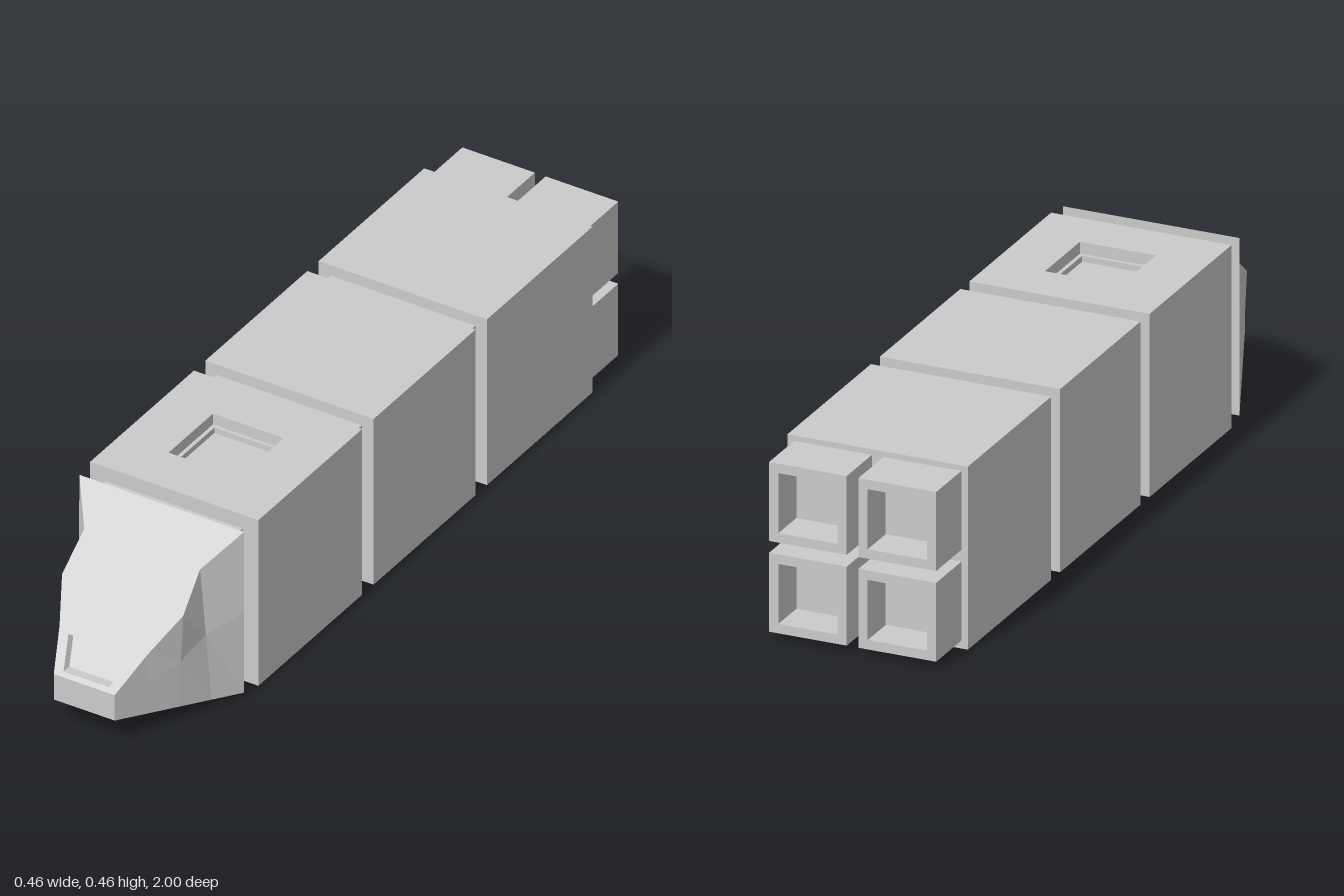
import * as THREE from 'three';

const material = new THREE.MeshStandardMaterial({ color: 0xcccccc, flatShading: true });

function addMesh(parent, name, geometry) {
  const mesh = new THREE.Mesh(geometry, material);
  mesh.name = name;
  parent.add(mesh);
  return mesh;
}

// Flat-sided skin through rings of points; the last ring is always capped.
// Rings run counter-clockwise seen from the end; skipEdge leaves one strip open.
function loft(rings, { startCap = true, skipEdge = -1 } = {}) {
  const pos = [];
  const tri = (a, b, c) => pos.push(...a, ...b, ...c);
  const n = rings[0].length;
  for (let k = 0; k < rings.length - 1; k++) {
    const a = rings[k], b = rings[k + 1];
    for (let i = 0; i < n; i++) {
      if (i === skipEdge) continue;
      const j = (i + 1) % n;
      tri(a[i], a[j], b[j]);
      tri(a[i], b[j], b[i]);
    }
  }
  const first = rings[0], last = rings[rings.length - 1];
  for (let i = 1; i < n - 1; i++) {
    if (startCap) tri(first[0], first[i + 1], first[i]);
    tri(last[0], last[i], last[i + 1]);
  }
  const g = new THREE.BufferGeometry();
  g.setAttribute('position', new THREE.Float32BufferAttribute(pos, 3));
  g.computeVertexNormals();
  return g;
}

const rect = (w, h, z) => [[-w / 2, -h / 2, z], [w / 2, -h / 2, z], [w / 2, h / 2, z], [-w / 2, h / 2, z]];

function createNose() {
  const nose = new THREE.Group();
  nose.name = 'nose';
  const slopeZ = (y) => 1 - (y - 0.143) * (0.34 / 0.317);

  // Upper edge of each flank, from the back to the tip
  const edge = [[0.227, 0.46], [0.16, 0.38], [0.167, 0.3], [0.12, 0.22], [0.084, 0.143]];
  const rings = edge.map(([tx, ty]) => {
    const z = slopeZ(ty), t = (z - 0.66) / 0.34;
    const bx = 0.227 - 0.143 * t, by = 0.01 + 0.062 * t;
    const mx = (tx + bx) / 2, my = (ty + by) / 2;
    return [[-bx, by, z], [bx, by, z], [mx, my, z], [tx, ty, z], [-tx, ty, z], [-mx, my, z]];
  });
  addMesh(nose, 'noseShell', loft(rings, { skipEdge: 3 }));

  // Sloping top with the window opening
  const win = [[-0.063, 0.152], [0.063, 0.152], [0.09, 0.212], [-0.09, 0.212]];
  const outline = [...edge, ...edge.map(([x, y]) => [-x, y]).reverse()];
  const toVec = ([x, y]) => new THREE.Vector2(x, y);
  const shape = new THREE.Shape(outline.map(toVec));
  shape.holes.push(new THREE.Path(win.map(toVec)));
  const top = new THREE.ShapeGeometry(shape);
  const p = top.attributes.position;
  for (let i = 0; i < p.count; i++) p.setZ(i, slopeZ(p.getY(i)));
  top.computeVertexNormals();
  addMesh(nose, 'noseTop', top);

  // Window sunk straight back into the slope
  const winRing = (depth) => win.map(([x, y]) => [x, y, slopeZ(y) - depth]);
  addMesh(nose, 'windowRecess', loft([winRing(0), winRing(0.025)], { startCap: false }));
  return nose;
}

export function createModel() {
  const model = new THREE.Group();
  model.name = 'spacecraft';
  const W = 0.464, midY = W / 2;

  const block = (name, w, h, y, z0, z1) =>
    addMesh(model, name, new THREE.BoxGeometry(w, h, z1 - z0)).position.set(0, y, (z0 + z1) / 2);

  model.add(createNose());

  // Front module with a stepped hatch in its roof, swept upward
  const L = 0.455;
  const front = addMesh(model, 'frontModule', loft([
    rect(W, L, 0), rect(W, L, W),
    rect(0.195, 0.195, W), rect(0.195, 0.195, W - 0.03),
    rect(0.175, 0.175, W - 0.03), rect(0.175, 0.175, W - 0.045),
  ]));
  front.rotation.x = -Math.PI / 2;
  front.position.z = 0.3775;

  block('middleModule', W, W, midY, -0.347, 0.1);
  block('rearModule', W, W, midY, -0.86, -0.397);

  // Narrower necks between the sections
  block('noseNeck', 0.375, 0.38, 0.235, 0.605, 0.66);
  block('frontNeck', 0.4, 0.4, 0.235, 0.1, 0.15);
  block('rearNeck', 0.4, 0.4, 0.235, -0.397, -0.347);

  // Four hollow square thrusters
  const thruster = loft([
    rect(0.2, 0.2, 0), rect(0.2, 0.2, 0.14),
    rect(0.152, 0.152, 0.14), rect(0.152, 0.152, 0.04),
  ]);
  for (const x of [-0.115, 0.115]) {
    for (const y of [0.12, 0.35]) {
      const t = addMesh(model, 'thruster', thruster);
      t.rotation.y = Math.PI;
      t.position.set(x, y, -0.86);
    }
  }
  return model;
}
